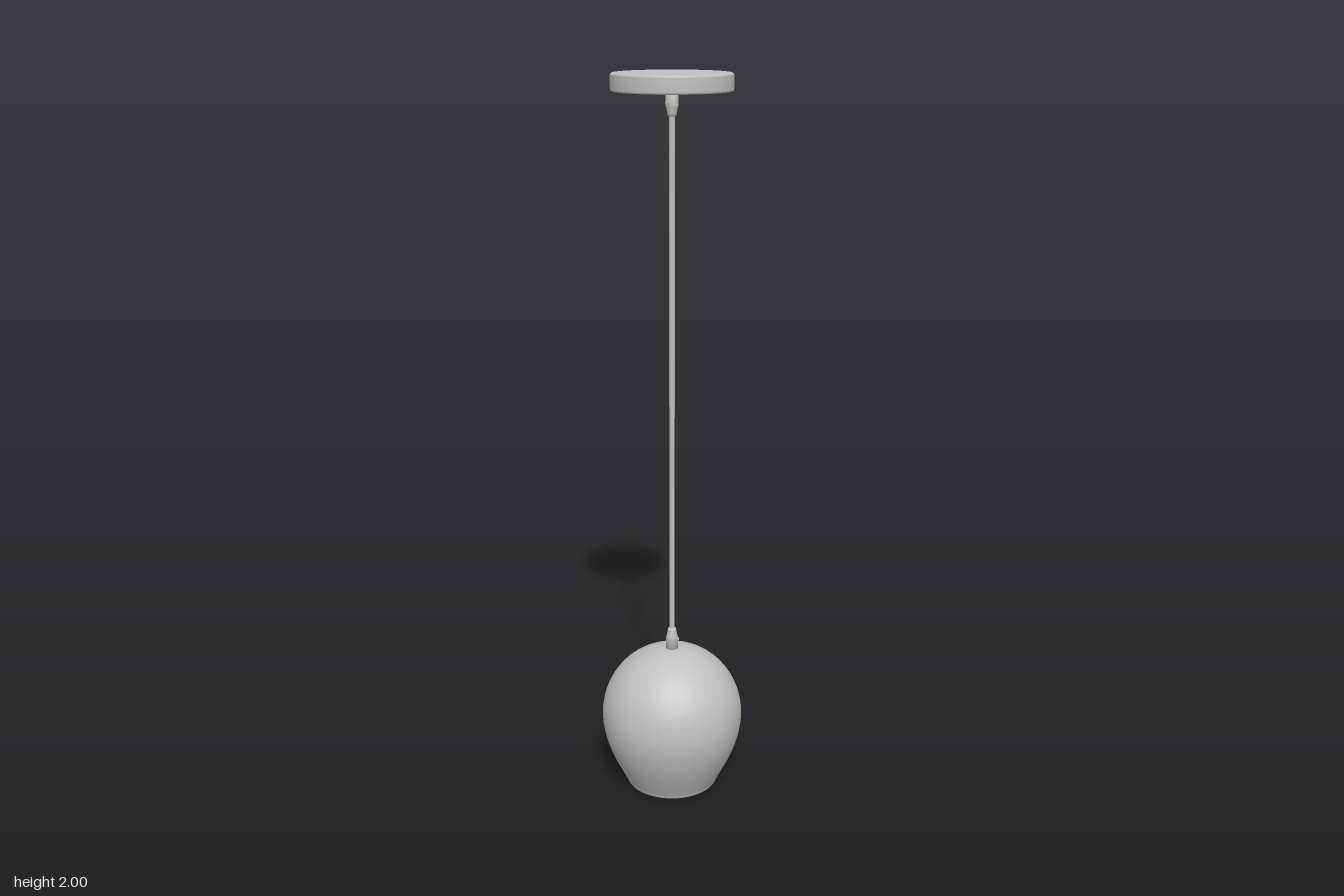
import * as THREE from 'three';

const metal = new THREE.MeshStandardMaterial({ color: 0xc0c0c0 });
metal.name = 'satin grey';

const V = (x, y) => new THREE.Vector2(x, y);

function add(group, name, geometry) {
  const mesh = new THREE.Mesh(geometry, metal);
  mesh.name = name;
  group.add(mesh);
  return mesh;
}

// Half of the shade's section from rim to crown, moved inwards by t
function shadeCurve(t) {
  const lower = new THREE.CubicBezierCurve(
    V(0.133 - t, 0.012), V(0.168 - t, 0.078), V(0.2 - t, 0.14), V(0.2 - t, 0.212));
  const points = lower.getPoints(20);
  for (let i = 1; i <= 24; i++) {
    const a = (i / 24) * Math.PI / 2;
    points.push(V(Math.max(0, (0.2 - t) * Math.cos(a)), 0.212 + (0.203 - t) * Math.sin(a)));
  }
  return points;
}

// Cord grip: a collar narrowing to the rod; dir points away from the seat
function addGrip(group, name, y, dir, screwAngle) {
  const profile = [[0, 0], [0.017, 0], [0.017, 0.036], [0.0155, 0.041],
    [0.012, 0.058], [0.0105, 0.064], [0, 0.065]].map(([r, h]) => V(r, y + dir * h));
  if (dir < 0) profile.reverse();
  add(group, name, new THREE.LatheGeometry(profile, 24));
  addScrew(group, name + 'Screw', 0.017, y + dir * 0.03, screwAngle, 0.005);
}

// Small round screw head pointing outwards; the angle turns from +z to +x
function addScrew(group, name, radius, y, angle, size) {
  const screw = add(group, name, new THREE.CylinderGeometry(size, size, 0.006, 12).rotateX(Math.PI / 2));
  screw.position.set(Math.sin(angle) * radius, y, Math.cos(angle) * radius);
  screw.rotation.y = angle;
}

export function createModel() {
  const lamp = new THREE.Group();
  lamp.name = 'pendantLamp';

  // Hollow shade: outside, rounded rim and inside
  add(lamp, 'shadeOuter', new THREE.LatheGeometry(shadeCurve(0), 64));
  add(lamp, 'shadeInner', new THREE.LatheGeometry(shadeCurve(0.012).reverse(), 64));
  add(lamp, 'shadeRim', new THREE.LatheGeometry(
    [V(0.121, 0.012), V(0.122, 0.003), V(0.125, 0), V(0.128, 0.001), V(0.131, 0.005), V(0.133, 0.012)], 64));

  // Rod and its two grips
  const rod = add(lamp, 'rod', new THREE.CylinderGeometry(0.0075, 0.0075, 1.5, 20));
  rod.position.y = 1.19;
  addGrip(lamp, 'lowerGrip', 0.412, 1, Math.PI / 2);
  addGrip(lamp, 'upperGrip', 1.957, -1, -0.6);

  // Ceiling canopy: flat faces, short bevels at both edges
  const canopy = new THREE.Group();
  canopy.name = 'canopy';
  lamp.add(canopy);
  add(canopy, 'canopyBottom', new THREE.CircleGeometry(0.152, 64).rotateX(Math.PI / 2)).position.y = 1.955;
  add(canopy, 'canopySide', new THREE.LatheGeometry(
    [V(0.152, 1.955), V(0.155, 1.956), V(0.1565, 1.96), V(0.1565, 1.994), V(0.155, 1.998), V(0.152, 2)], 64));
  add(canopy, 'canopyTop', new THREE.CircleGeometry(0.152, 64).rotateX(-Math.PI / 2)).position.y = 2;
  addScrew(canopy, 'canopyScrew', 0.1565, 1.979, Math.atan2(0.07, -0.14), 0.007);

  return lamp;
}
